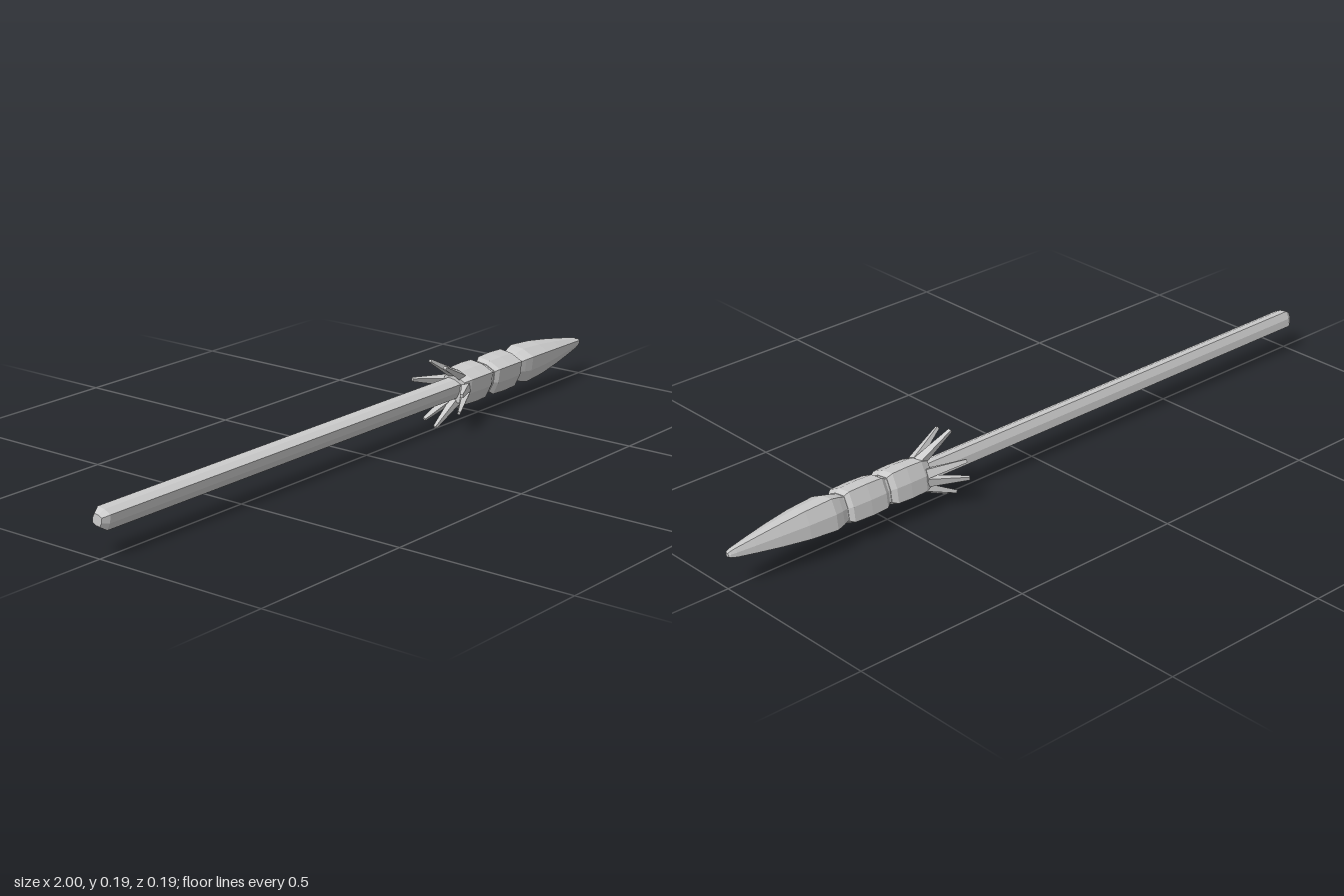
import * as THREE from 'three';

const CY = 0.1, CZ = -0.005;   // axis of the weapon, running along x
const TWIST = THREE.MathUtils.degToRad(62); // angle of the first corner, from +y towards +z
const BULGE = 0.82;            // mid-side radius relative to corner radius

const material = new THREE.MeshStandardMaterial({ color: 0xcccccc, flatShading: true });

// Loft of bulged-square rings along x; profile holds [x, corner radius] from back to front
function loft(name, profile) {
  const point = ([x, r], j) => {
    const t = TWIST + (j * Math.PI) / 4;
    const k = j % 2 ? r * BULGE : r;
    return [x, CY + k * Math.cos(t), CZ + k * Math.sin(t)];
  };
  const positions = [];
  for (let i = 0; i < profile.length - 1; i++) {
    const [p, q] = [profile[i], profile[i + 1]];
    for (let j = 0; j < 8; j++) {
      const a = point(p, j), b = point(p, j + 1), c = point(q, j), d = point(q, j + 1);
      if (p[1] > 0) positions.push(...a, ...b, ...d);
      if (q[1] > 0) positions.push(...a, ...d, ...c);
    }
  }
  const geometry = new THREE.BufferGeometry();
  geometry.setAttribute('position', new THREE.Float32BufferAttribute(positions, 3));
  geometry.computeVertexNormals();
  const mesh = new THREE.Mesh(geometry, material);
  mesh.name = name;
  return mesh;
}

// Tapered four-sided spike sweeping outwards and back from the collar
function spike(degrees, reach) {
  const t = THREE.MathUtils.degToRad(degrees);
  const radial = new THREE.Vector3(0, Math.cos(t), Math.sin(t));
  const centre = new THREE.Vector3(0, CY, CZ);
  const base = centre.clone().addScaledVector(radial, 0.036).setX(0.4);
  const tip = centre.clone().addScaledVector(radial, reach).setX(0.3);
  const along = tip.clone().sub(base);
  const length = along.length();
  along.normalize();
  const side = new THREE.Vector3(1, 0, 0).cross(radial);
  const depth = side.clone().cross(along);

  const geometry = new THREE.CylinderGeometry(0.009, 0.024, length, 4, 1);
  geometry.rotateY(Math.PI / 4);
  geometry.scale(0.72, 1, 0.62);
  const mesh = new THREE.Mesh(geometry, material);
  mesh.name = 'spike';
  mesh.quaternion.setFromRotationMatrix(new THREE.Matrix4().makeBasis(side, along, depth));
  mesh.position.copy(base).add(tip).multiplyScalar(0.5);
  return mesh;
}

export function createModel() {
  const group = new THREE.Group();
  group.name = 'spear';

  // Shaft with a chamfered butt
  group.add(loft('shaft', [[-1, 0], [-1, 0.018], [-0.982, 0.031], [0.4, 0.031], [0.4, 0]]));

  // Two chamfered collars joined by a narrower core
  group.add(loft('rearCollar', [[0.385, 0], [0.385, 0.046], [0.41, 0.056], [0.46, 0.058],
    [0.505, 0.056], [0.52, 0.046], [0.52, 0]]));
  group.add(loft('frontCollar', [[0.527, 0], [0.527, 0.046], [0.54, 0.056], [0.59, 0.058],
    [0.645, 0.056], [0.657, 0.046], [0.657, 0]]));
  group.add(loft('core', [[0.5, 0], [0.5, 0.044], [0.68, 0.044], [0.68, 0]]));

  // Pointed head with a small blunt tip
  group.add(loft('head', [[0.66, 0], [0.66, 0.044], [0.675, 0.05], [0.7, 0.057], [0.78, 0.051],
    [0.86, 0.039], [0.93, 0.026], [0.98, 0.016], [0.995, 0.011], [1, 0.006], [1, 0]]));

  // Ring of spikes, in pairs: [angle from +y towards +z, reach]
  const spikes = new THREE.Group();
  spikes.name = 'spikes';
  for (const [angle, reach] of [[-8, 0.095], [24, 0.091], [82, 0.095], [113, 0.093],
    [177, 0.092], [203, 0.082], [260, 0.086], [292, 0.08]]) {
    spikes.add(spike(angle, reach));
  }
  group.add(spikes);
  return group;
}
